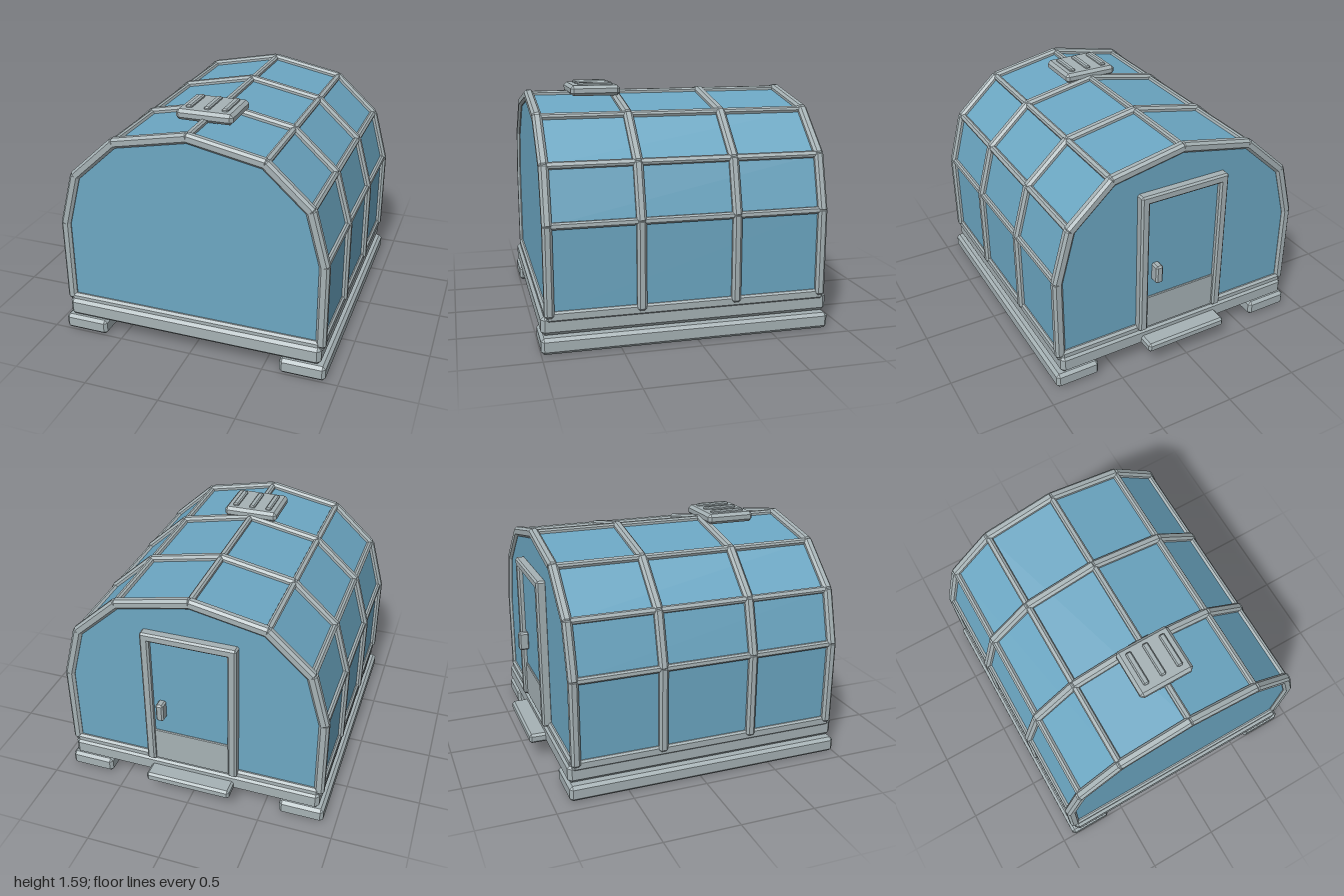
import * as THREE from 'three';
import { ConvexGeometry } from 'three/addons/geometries/ConvexGeometry.js';

const metal = new THREE.MeshStandardMaterial({ color: 0xa6b2b5 });
metal.name = 'pale grey metal';
const glass = new THREE.MeshStandardMaterial({ color: 0x6ca7c3 });
glass.name = 'blue glass';

// Box with chamfered edges, centred on the origin
function chamferBox(w, h, d, c) {
  const points = [];
  for (const sx of [-1, 1]) for (const sy of [-1, 1]) for (const sz of [-1, 1]) {
    const x = w / 2, y = h / 2, z = d / 2;
    points.push(
      new THREE.Vector3(sx * x, sy * (y - c), sz * (z - c)),
      new THREE.Vector3(sx * (x - c), sy * y, sz * (z - c)),
      new THREE.Vector3(sx * (x - c), sy * (y - c), sz * z));
  }
  return new ConvexGeometry(points);
}

// Chamfered box given by its limits on each axis
function block(parent, name, [x0, x1], [y0, y1], [z0, z1], c = 0.015, material = metal) {
  const mesh = new THREE.Mesh(chamferBox(x1 - x0, y1 - y0, z1 - z0, c), material);
  mesh.position.set((x0 + x1) / 2, (y0 + y1) / 2, (z0 + z1) / 2);
  mesh.name = name;
  parent.add(mesh);
  return mesh;
}

export function createModel() {
  const model = new THREE.Group();
  model.name = 'glasshouse';

  // Arched cross-section, from the right foot over the ridge to the left foot
  const half = [[0.87, 0.24], [0.87, 0.8], [0.775, 1.15], [0.49, 1.41]];
  const arch = [...half.map(([x, y]) => [-x, y]), [0, 1.508], ...half.slice().reverse()]
    .map(([x, y]) => new THREE.Vector2(x, y));

  // Glazed shell with both end walls
  const shell = new THREE.Mesh(
    new THREE.ExtrudeGeometry(new THREE.Shape(arch), { depth: 1.8, bevelEnabled: false }), glass);
  shell.position.z = -0.85;
  shell.name = 'glassShell';
  model.add(shell);

  // Skids, floor and sills
  for (const s of [-1, 1]) {
    const skid = block(model, 'skid', [-0.152, 0.152], [0, 0.105], [-0.89, 1], 0.02);
    skid.position.x = s * 0.763;
    const sill = block(model, 'sideSill', [-0.0225, 0.0225], [0.2, 0.265], [-0.86, 0.96], 0.012);
    sill.position.x = s * 0.867;
  }
  block(model, 'floor', [-0.88, 0.88], [0.11, 0.237], [-0.89, 0.995], 0.025);
  block(model, 'frontSill', [-0.87, 0.87], [0.2, 0.27], [0.91, 0.975]);
  block(model, 'backSill', [-0.87, 0.87], [0.2, 0.27], [-0.875, -0.81]);

  // Four arched ribs made of straight bars
  for (const z of [0.942, 0.362, -0.258, -0.838]) {
    const rib = new THREE.Group();
    rib.name = 'rib';
    rib.position.z = z;
    for (let i = 0; i < arch.length - 1; i++) {
      const a = arch[i], b = arch[i + 1];
      const bar = new THREE.Mesh(chamferBox(a.distanceTo(b) + 0.03, 0.066, 0.062, 0.016), metal);
      bar.position.set((a.x + b.x) / 2, (a.y + b.y) / 2, 0);
      bar.rotation.z = Math.atan2(b.y - a.y, b.x - a.x);
      bar.name = 'ribBar';
      rib.add(bar);
    }
    model.add(rib);
  }

  // Lengthwise purlins along each fold of the roof
  for (let i = 1; i < arch.length - 1; i++) {
    const purlin = block(model, 'purlin', [-0.022, 0.022], [-0.023, 0.023], [-0.86, 0.96], 0.011);
    const along = arch[i + 1].clone().sub(arch[i - 1]);
    purlin.position.x = arch[i].x;
    purlin.position.y = arch[i].y;
    purlin.rotation.z = Math.atan2(along.y, along.x);
  }

  // Roof vent with three slats
  const vent = new THREE.Group();
  vent.name = 'roofVent';
  block(vent, 'ventBox', [-0.19, 0.19], [1.505, 1.575], [0.345, 0.68], 0.02);
  for (const x of [-0.12, 0, 0.12])
    block(vent, 'ventSlat', [x - 0.02, x + 0.02], [1.56, 1.592], [0.39, 0.625], 0.008);
  model.add(vent);

  // Back door with frame, pane, kick panel, handle and step
  const door = new THREE.Group();
  door.name = 'door';
  const depth = [-0.91, -0.84];
  for (const s of [-1, 1]) {
    const post = block(door, 'doorPost', [-0.03, 0.03], [0.24, 1.27], depth, 0.012);
    post.position.x = s * 0.288;
  }
  block(door, 'doorHead', [-0.318, 0.318], [1.21, 1.27], depth, 0.012);
  block(door, 'doorPane', [-0.265, 0.265], [0.48, 1.22], [-0.875, -0.845], 0.003, glass);
  block(door, 'kickPanel', [-0.265, 0.265], [0.24, 0.49], [-0.885, -0.845], 0.005);
  block(door, 'doorHandle', [0.17, 0.222], [0.62, 0.75], [-0.942, -0.87], 0.011);
  block(door, 'doorStep', [-0.295, 0.295], [0.12, 0.185], [-1, -0.86], 0.015);
  model.add(door);

  return model;
}
